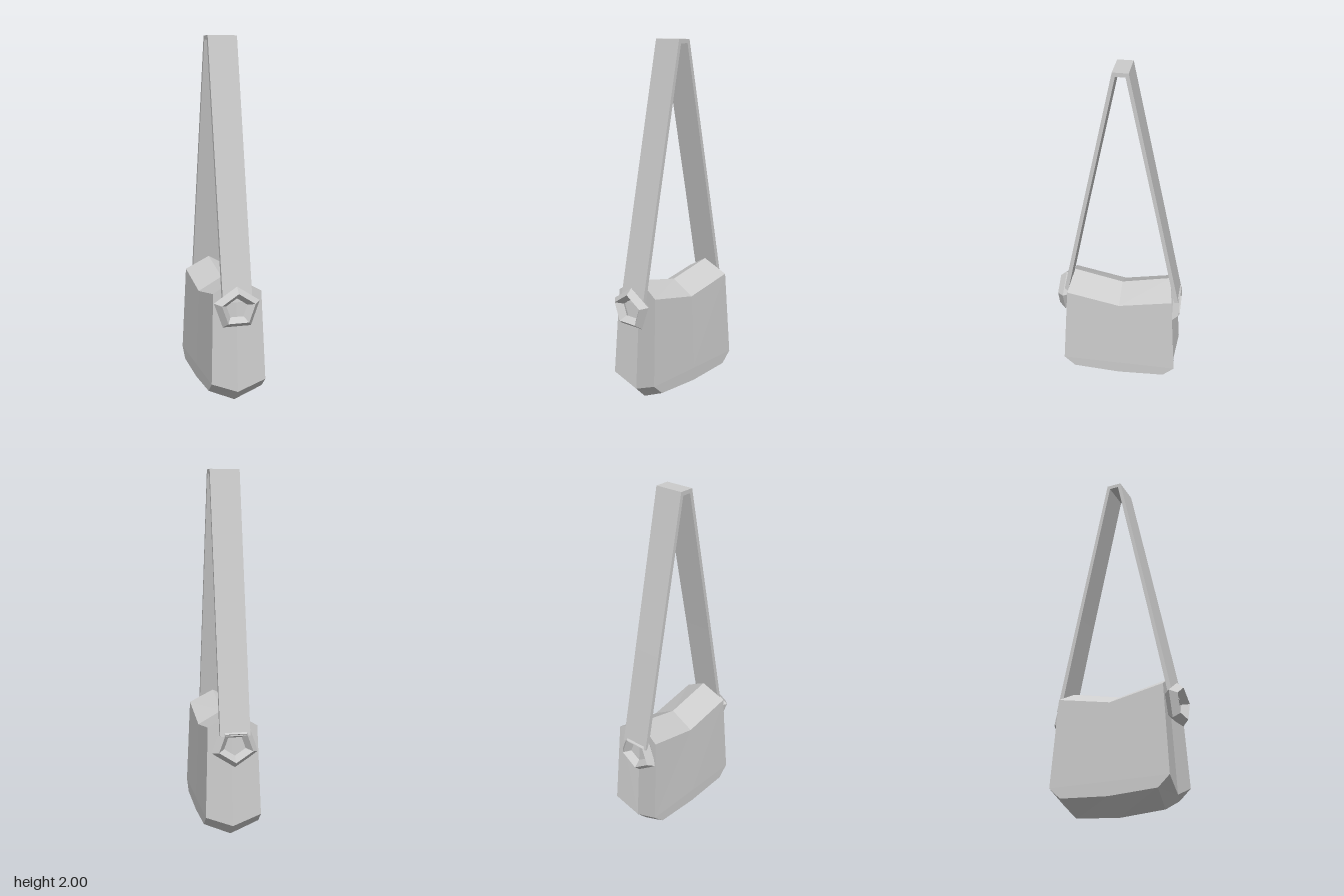
import * as THREE from 'three';

const material = new THREE.MeshStandardMaterial({ color: 0xcccccc, flatShading: true });

function addMesh(parent, name, geometry) {
  const mesh = new THREE.Mesh(geometry, material);
  mesh.name = name;
  parent.add(mesh);
  return mesh;
}

// Bag body: three lengthwise cross-sections, each an eight-sided loop, closed by fans
function bodyGeometry() {
  // One half-section: [x, y, z] of top edge, side corner, lower side, then the two ridges
  const end = { top: [0.303, 0.645, 0.135], corner: [0.334, 0.155, 0.152], low: [0.27, 0.095, 0.152],
    ridge: [0.28, 0.72, 0], keel: [0.25, 0.022, 0] };
  const middle = { top: [0, 0.585, 0.135], corner: [0, 0.155, 0.152], low: [0, 0.08, 0.152],
    ridge: [0, 0.66, 0], keel: [0, 0.003, 0] };
  const loop = (s, sign) => {
    const p = ([x, y, z], side = 1) => [x * sign, y, z * side];
    return [p(s.top), p(s.ridge), p(s.top, -1), p(s.corner, -1),
      p(s.low, -1), p(s.keel), p(s.low), p(s.corner)];
  };
  const sections = [loop(end, -1), loop(middle, 1), loop(end, 1)];
  const points = [];
  const tri = (a, b, c) => points.push(...a, ...b, ...c);
  for (let s = 0; s < 2; s++) {
    for (let i = 0; i < 8; i++) {
      const j = (i + 1) % 8;
      const a = sections[s][i], b = sections[s][j];
      const c = sections[s + 1][j], d = sections[s + 1][i];
      tri(a, d, c);
      tri(a, c, b);
    }
  }
  // Slightly sunken ends
  for (let i = 0; i < 8; i++) {
    const j = (i + 1) % 8;
    tri([-0.318, 0.09, 0], sections[0][i], sections[0][j]);
    tri([0.318, 0.09, 0], sections[2][j], sections[2][i]);
  }
  const geometry = new THREE.BufferGeometry();
  geometry.setAttribute('position', new THREE.Float32BufferAttribute(points, 3));
  geometry.computeVertexNormals();
  return geometry;
}

// Shoulder strap: a narrow A-shaped band with a flat top
function strapGeometry() {
  const width = 0.164;
  const outer = [[0.337, 0.6], [0.224, 1.14], [0.042, 2]];
  const inner = [[0.026, 1.978], [0.203, 1.14], [0.313, 0.6]];
  const half = [...inner].reverse().map(([x, y]) => [-x, y]);
  const left = [...outer].reverse().map(([x, y]) => [-x, y]);
  const outline = [...outer, ...left, ...half.map((p) => p), ...inner];
  const shape = new THREE.Shape(outline.map(([x, y]) => new THREE.Vector2(x, y)));
  const geometry = new THREE.ExtrudeGeometry(shape, { depth: width, bevelEnabled: false });
  return geometry.translate(0, 0, -width / 2 - 0.008);
}

export function createModel() {
  const model = new THREE.Group();
  model.name = 'shoulderBag';

  // The bag stands turned around the vertical axis
  const bag = new THREE.Group();
  bag.name = 'bag';
  bag.rotation.y = 0.961;
  model.add(bag);

  addMesh(bag, 'body', bodyGeometry());
  addMesh(bag, 'strap', strapGeometry());

  // Five-sided strap rings, one point up and the other point down
  for (const [name, side, x, y] of [['frontRing', -1, 0.335, 0.565], ['backRing', 1, 0.307, 0.54]]) {
    const geometry = new THREE.TorusGeometry(0.098, 0.036, 4, 5);
    geometry.rotateZ(-side * Math.PI / 2);
    geometry.scale(1, 0.9, 1);
    geometry.rotateY(side * Math.PI / 2);
    addMesh(bag, name, geometry).position.set(side * x, y, -0.012);
  }
  return model;
}
